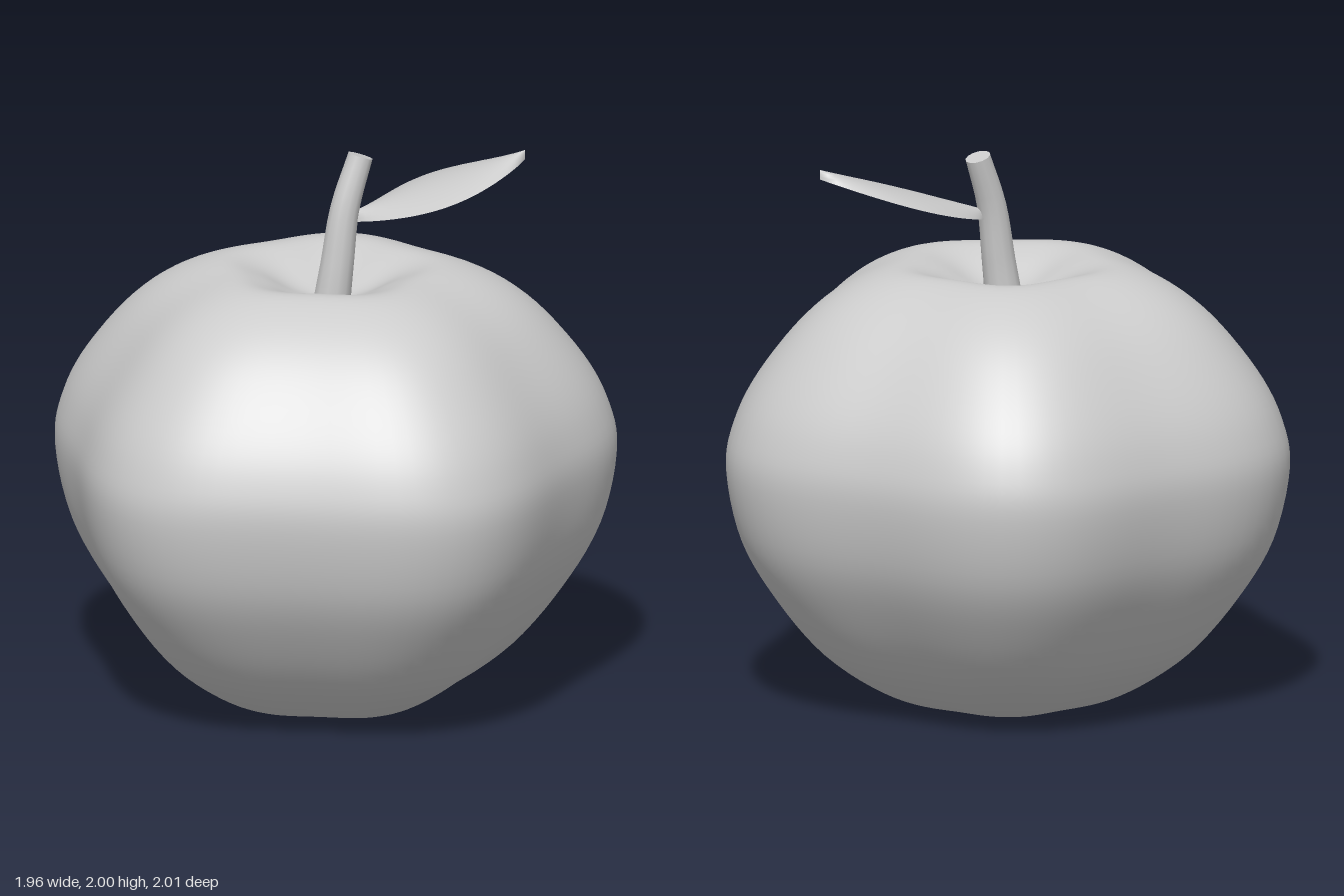
import * as THREE from 'three';
import { mergeVertices } from 'three/addons/utils/BufferGeometryUtils.js';

const CENTRE_X = -0.055;

// Weld the seams so the normals run smoothly all the way round
function smooth(geometry) {
  geometry.deleteAttribute('uv');
  geometry.deleteAttribute('normal');
  const welded = mergeVertices(geometry, 1e-4);
  welded.computeVertexNormals();
  return welded;
}

// Fruit: a lathe with dimples at both ends, pushed out into five lobes
function fruitGeometry() {
  const profile = new THREE.SplineCurve([
    [0, 0.09], [0.1, 0.065], [0.2, 0.02], [0.3, 0], [0.46, 0.06], [0.655, 0.2], [0.82, 0.4],
    [0.945, 0.62], [1, 0.87], [0.975, 1.04], [0.89, 1.21], [0.735, 1.4], [0.575, 1.52],
    [0.4, 1.583], [0.27, 1.56], [0.13, 1.495], [0, 1.46],
  ].map(([r, y]) => new THREE.Vector2(r, y)));
  const points = profile.getPoints(80);
  points[0].x = points[80].x = 0;
  const geometry = new THREE.LatheGeometry(points, 100);
  const p = geometry.attributes.position;
  for (let i = 0; i < p.count; i++) {
    const angle = Math.atan2(p.getZ(i), p.getX(i));
    const k = 0.978 * (1 + 0.053 * Math.cos(5 * angle));
    p.setXYZ(i, p.getX(i) * k + CENTRE_X, p.getY(i), p.getZ(i) * k);
  }
  return smooth(geometry);
}

// Stem: a tapering cylinder bent along a leaning curve
function stemGeometry() {
  const path = new THREE.CatmullRomCurve3([
    new THREE.Vector3(-0.05, 1.455, 0.005),
    new THREE.Vector3(-0.03, 1.6, 0.005),
    new THREE.Vector3(0.0, 1.8, -0.005),
    new THREE.Vector3(0.06, 1.985, -0.025),
  ]);
  const geometry = new THREE.CylinderGeometry(0.046, 0.068, 1, 12, 12);
  const p = geometry.attributes.position;
  const n = geometry.attributes.normal;
  const up = new THREE.Vector3(0, 1, 0);
  const v = new THREE.Vector3();
  const turn = new THREE.Quaternion();
  for (let i = 0; i < p.count; i++) {
    const t = THREE.MathUtils.clamp(p.getY(i) + 0.5, 0, 1);
    turn.setFromUnitVectors(up, path.getTangent(t));
    v.set(p.getX(i), 0, p.getZ(i)).applyQuaternion(turn).add(path.getPoint(t));
    p.setXYZ(i, v.x, v.y, v.z);
    v.fromBufferAttribute(n, i).applyQuaternion(turn);
    n.setXYZ(i, v.x, v.y, v.z);
  }
  return geometry;
}

// Leaf: a pointed blade, arched across its width and rising to the tip
function leafGeometry() {
  const geometry = new THREE.PlaneGeometry(1, 2, 28, 12);
  geometry.rotateX(-Math.PI / 2);
  const p = geometry.attributes.position;
  for (let i = 0; i < p.count; i++) {
    const t = p.getX(i) + 0.5;
    const across = p.getZ(i);
    const width = 0.203 * Math.pow(Math.sin(Math.PI * t), 0.85);
    p.setXYZ(i, 0.02 + 0.63 * t, 1.785 + 0.195 * t - 0.035 * across * across, across * width);
  }
  geometry.computeVertexNormals();
  return geometry;
}

export function createModel() {
  const grey = new THREE.MeshStandardMaterial({ color: 0xcccccc });
  grey.name = 'light grey';
  grey.side = THREE.DoubleSide;
  const model = new THREE.Group();
  model.name = 'apple';
  const parts = { fruit: fruitGeometry(), stem: stemGeometry(), leaf: leafGeometry() };
  for (const [name, geometry] of Object.entries(parts)) {
    const mesh = new THREE.Mesh(geometry, grey);
    mesh.name = name;
    model.add(mesh);
  }
  return model;
}
